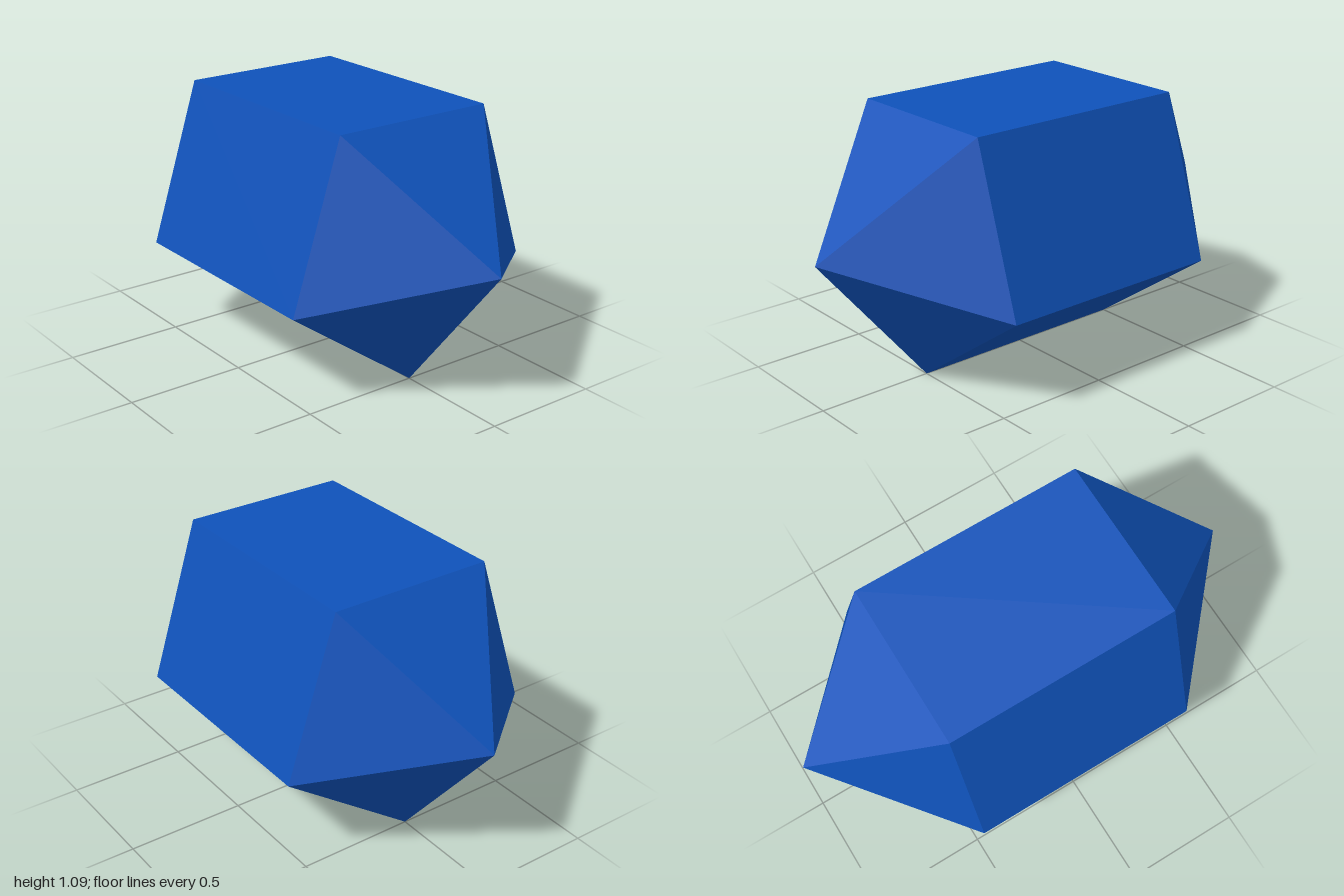
import * as THREE from 'three';

const RADIUS = 0.605; // pentagon circumradius
const SIDES = 5;
const BODY = 1.0; // prism length
const TIP = 0.5; // pyramid length

export function createModel() {
  const group = new THREE.Group();
  group.name = 'crystal';

  const sapphire = new THREE.MeshStandardMaterial({ color: 0x0f52ba, flatShading: true });
  sapphire.name = 'sapphire blue';

  const add = (name, geometry, z) => {
    const flat = geometry.toNonIndexed();
    flat.computeVertexNormals();
    const mesh = new THREE.Mesh(flat, sapphire);
    mesh.name = name;
    mesh.position.set(0, RADIUS, z);
    group.add(mesh);
  };

  // Five-sided prism lying along z, one edge resting on the ground
  add('prismBody', new THREE.CylinderGeometry(RADIUS, RADIUS, BODY, SIDES, 1, true).rotateX(Math.PI / 2), 0);

  // Pointed ends; the back one starts half a turn on so its corners meet the prism
  for (const [name, dir, start] of [['frontPoint', 1, 0], ['backPoint', -1, Math.PI]]) {
    const tip = new THREE.ConeGeometry(RADIUS, TIP, SIDES, 1, true, start);
    add(name, tip.rotateX(dir * Math.PI / 2), dir * (BODY + TIP) / 2);
  }

  return group;
}
